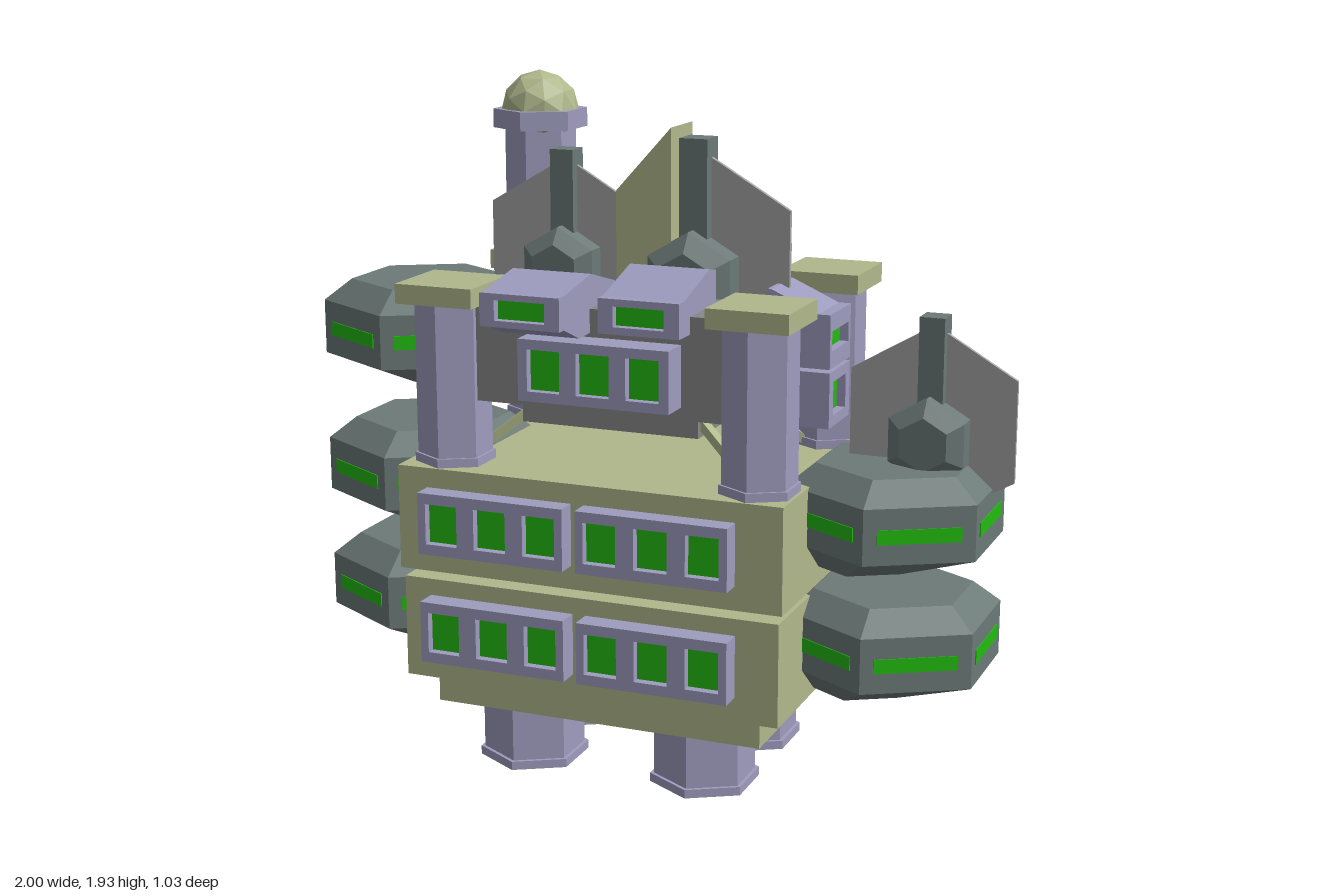
import * as THREE from 'three';

const mat = (color) => new THREE.MeshStandardMaterial({ color, flatShading: true });
const olive = mat(0xb0b88c), lavender = mat(0x9e9cbe), slate = mat(0x6c7a78);
const grey = mat(0x888888), green = mat(0x22bb11);
const paleGrey = new THREE.MeshStandardMaterial({ color: 0xa4a4a4, side: THREE.DoubleSide });

function add(parent, name, geometry, material, x = 0, y = 0, z = 0) {
  const mesh = new THREE.Mesh(geometry, material);
  mesh.name = name;
  mesh.position.set(x, y, z);
  parent.add(mesh);
  return mesh;
}

// Box given by its limits
function block(parent, name, material, x0, x1, y0, y1, z0, z1) {
  return add(parent, name, new THREE.BoxGeometry(x1 - x0, y1 - y0, z1 - z0), material,
    (x0 + x1) / 2, (y0 + y1) / 2, (z0 + z1) / 2);
}

// Upright six-sided post
function hexPost(parent, name, material, r, x, y0, y1, z) {
  return add(parent, name, new THREE.CylinderGeometry(r, r, y1 - y0, 6), material, x, (y0 + y1) / 2, z);
}

const polygon = (pts) => new THREE.Shape(pts.map(([x, y]) => new THREE.Vector2(x, y)));
const extrude = (shape, depth) => new THREE.ExtrudeGeometry(shape, { depth, bevelEnabled: false });

// Frame with recessed green panes, facing +z, its back on z = 0
function windowFrame(parent, name, w, h, depth, count, pw, ph, pitch) {
  const g = new THREE.Group();
  g.name = name;
  const shape = polygon([[-w / 2, -h / 2], [w / 2, -h / 2], [w / 2, h / 2], [-w / 2, h / 2]]);
  for (let i = 0; i < count; i++) {
    const cx = (i - (count - 1) / 2) * pitch;
    shape.holes.push(new THREE.Path([[-1, -1], [-1, 1], [1, 1], [1, -1]]
      .map(([a, b]) => new THREE.Vector2(cx + a * pw / 2, b * ph / 2))));
    add(g, 'windowPane', new THREE.PlaneGeometry(pw, ph), green, cx, 0, depth - 0.025);
  }
  add(g, 'windowSurround', extrude(shape, depth), lavender);
  parent.add(g);
  return g;
}

// Cabin with a sloping roof: side profile in (z, y), window in its front
function cabin(parent, x, w, profile, zFront, yMid, h) {
  const body = add(parent, 'cabinBody', extrude(polygon(profile.map(([z, y]) => [-z, y])), w), lavender, x - w / 2);
  body.rotation.y = Math.PI / 2;
  windowFrame(parent, 'cabinWindow', w, h, 0.035, 1, 0.145, 0.055, 0).position.set(x, yMid, zFront - 0.035);
}

// Six-sided side pod, its underside drawn towards the hull
function pod(parent, x, y, shift) {
  const g = new THREE.Group();
  g.name = 'sidePod';
  g.position.set(x, y, 0.003);
  const geo = new THREE.LatheGeometry([[0, 0], [0.15, 0], [0.305, 0.085], [0.305, 0.24], [0.225, 0.3], [0, 0.3]]
    .map(([r, h]) => new THREE.Vector2(r, h)), 6);
  const p = geo.attributes.position;
  for (let i = 0; i < p.count; i++) if (p.getY(i) < 0.01) p.setX(i, p.getX(i) + shift);
  add(g, 'podShell', geo, slate);
  for (let i = 0; i < 6; i++) {
    const a = (i + 0.5) * Math.PI / 3;
    add(g, 'podWindow', new THREE.BoxGeometry(0.23, 0.04, 0.01), green,
      Math.sin(a) * 0.262, 0.162, Math.cos(a) * 0.262).rotation.y = a;
  }
  parent.add(g);
}

// Bevelled hexagonal housing with mast and thin sail
function sensor(parent, x, y, z, s) {
  const g = new THREE.Group();
  g.name = 'sensor';
  const housing = new THREE.LatheGeometry([[0, -0.1], [0.075, -0.1], [0.121, -0.065], [0.121, 0.065], [0.075, 0.1], [0, 0.1]]
    .map(([r, h]) => new THREE.Vector2(r, h)), 6);
  housing.rotateX(Math.PI / 2);
  add(g, 'sensorHousing', housing, slate, 0, 0.065, 0);
  add(g, 'sensorMast', new THREE.BoxGeometry(0.07, 0.36, 0.07), slate, 0, 0.22, 0);
  const sail = polygon([[0, -0.17], [0.23, -0.04], [0.23, 0.24], [0, 0.375], [-0.23, 0.24], [-0.23, -0.04]]);
  add(g, 'sensorSail', extrude(sail, 0.012), paleGrey, 0, 0, -0.006);
  g.position.set(x, y, z);
  g.scale.setScalar(s);
  parent.add(g);
}

export function createModel() {
  const model = new THREE.Group();
  model.name = 'station';

  // Hull decks
  block(model, 'baseSlab', olive, -0.56, 0.41, 0.19, 0.29, -0.365, 0.34);
  block(model, 'lowerDeck', olive, -0.63, 0.48, 0.28, 0.572, -0.42, 0.395);
  block(model, 'deckSpacer', olive, -0.52, 0.37, 0.56, 0.61, -0.34, 0.32);
  block(model, 'upperDeck', olive, -0.64, 0.49, 0.597, 0.895, -0.43, 0.4);

  // Legs
  for (const x of [-0.345, 0.185]) for (const z of [0.165, -0.195]) {
    hexPost(model, 'leg', lavender, 0.145, x, 0.01, 0.2, z);
    hexPost(model, 'foot', lavender, 0.156, x, 0, 0.025, z);
  }

  // Raised platform, its keel and braces
  block(model, 'platform', grey, -0.53, 0.37, 1.08, 1.362, -0.32, 0.32);
  block(model, 'platformKeel', grey, -0.35, 0.175, 1.0, 1.09, -0.2, 0.2);
  for (const s of [-1, 1]) for (const z of [-1, 1]) {
    const a = new THREE.Vector3(-0.075 + s * 0.2, 1.08, z * 0.15);
    const b = new THREE.Vector3(-0.075 + s * 0.42, 0.9, z * 0.24);
    const brace = add(model, 'brace', new THREE.BoxGeometry(0.025, 0.025, a.distanceTo(b)), olive);
    brace.position.lerpVectors(a, b, 0.5);
    brace.lookAt(b);
  }

  // Corner columns; the rear right one rises into a domed tower
  for (const x of [-0.52, 0.383]) for (const z of [0.283, -0.302]) {
    const tower = x < 0 && z < 0;
    hexPost(model, 'column', lavender, 0.104, x, 0.895, tower ? 1.78 : 1.36, z);
    hexPost(model, 'columnFoot', lavender, 0.112, x, 0.895, 0.92, z);
    block(model, 'columnCap', olive, x - 0.115, x + 0.115, 1.35, 1.405, z - 0.115, z + 0.115);
    if (tower) {
      hexPost(model, 'towerHead', lavender, 0.138, x, 1.76, 1.815, z);
      add(model, 'towerDome', new THREE.IcosahedronGeometry(0.114, 1), olive, x, 1.812, z);
    }
  }

  // Deck windows and cabins, front and back
  for (const back of [false, true]) {
    const decks = new THREE.Group(), cabins = new THREE.Group();
    decks.name = back ? 'rearDeckWindows' : 'frontDeckWindows';
    cabins.name = back ? 'rearCabins' : 'frontCabins';
    if (back) {
      decks.rotation.y = cabins.rotation.y = Math.PI;
      decks.position.set(-0.19, 0, -0.01);
      cabins.position.set(-0.13, 0, -0.005);
    }
    for (const y of [0.437, 0.752]) for (const x of [-0.333, 0.14])
      windowFrame(decks, 'deckWindows', 0.435, 0.175, 0.08, 3, 0.095, 0.115, 0.147).position.set(x, y, 0.38);
    windowFrame(cabins, 'platformWindows', 0.435, 0.17, 0.11, 3, 0.095, 0.115, 0.143).position.set(-0.045, 1.2, 0.3);
    cabin(cabins, -0.205, 0.23,
      [[0.485, 1.425], [0.31, 1.455], [0.15, 1.41], [0.15, 1.3], [0.39, 1.295], [0.485, 1.335]], 0.515, 1.38, 0.09);
    cabin(cabins, 0.083, 0.23,
      [[0.365, 1.41], [0.18, 1.465], [0.13, 1.455], [0.13, 1.315], [0.365, 1.315]], 0.4, 1.363, 0.095);
    model.add(decks, cabins);
  }

  // Two stacked cabins on the left flank
  const flank = new THREE.Group();
  flank.name = 'flankCabins';
  flank.rotation.y = Math.PI / 2;
  cabin(flank, 0.03, 0.18,
    [[0.465, 1.34], [0.33, 1.4], [0.32, 1.4], [0.32, 1.19], [0.465, 1.19]], 0.5, 1.265, 0.15);
  block(flank, 'flankRoom', lavender, -0.06, 0.12, 1.025, 1.18, 0.3, 0.465);
  windowFrame(flank, 'flankWindow', 0.18, 0.155, 0.035, 1, 0.11, 0.095, 0).position.set(0.03, 1.1025, 0.465);
  model.add(flank);

  // Side pods
  for (const y of [0.288, 0.645]) pod(model, 0.678, y, -0.09);
  for (const y of [0.285, 0.64, 1.05]) pod(model, -0.736, y, 0.12);

  // Sensors and the slanted fin
  sensor(model, -0.325, 1.335, -0.055, 1);
  sensor(model, 0.085, 1.32, -0.028, 1.17);
  sensor(model, 0.77, 0.947, -0.013, 1);
  add(model, 'slantedFin', extrude(polygon([[-0.128, 1.34], [0.035, 1.34], [0.035, 1.82], [-0.128, 1.64]]), 0.16),
    olive, 0, 0, -0.11);

  return model;
}
